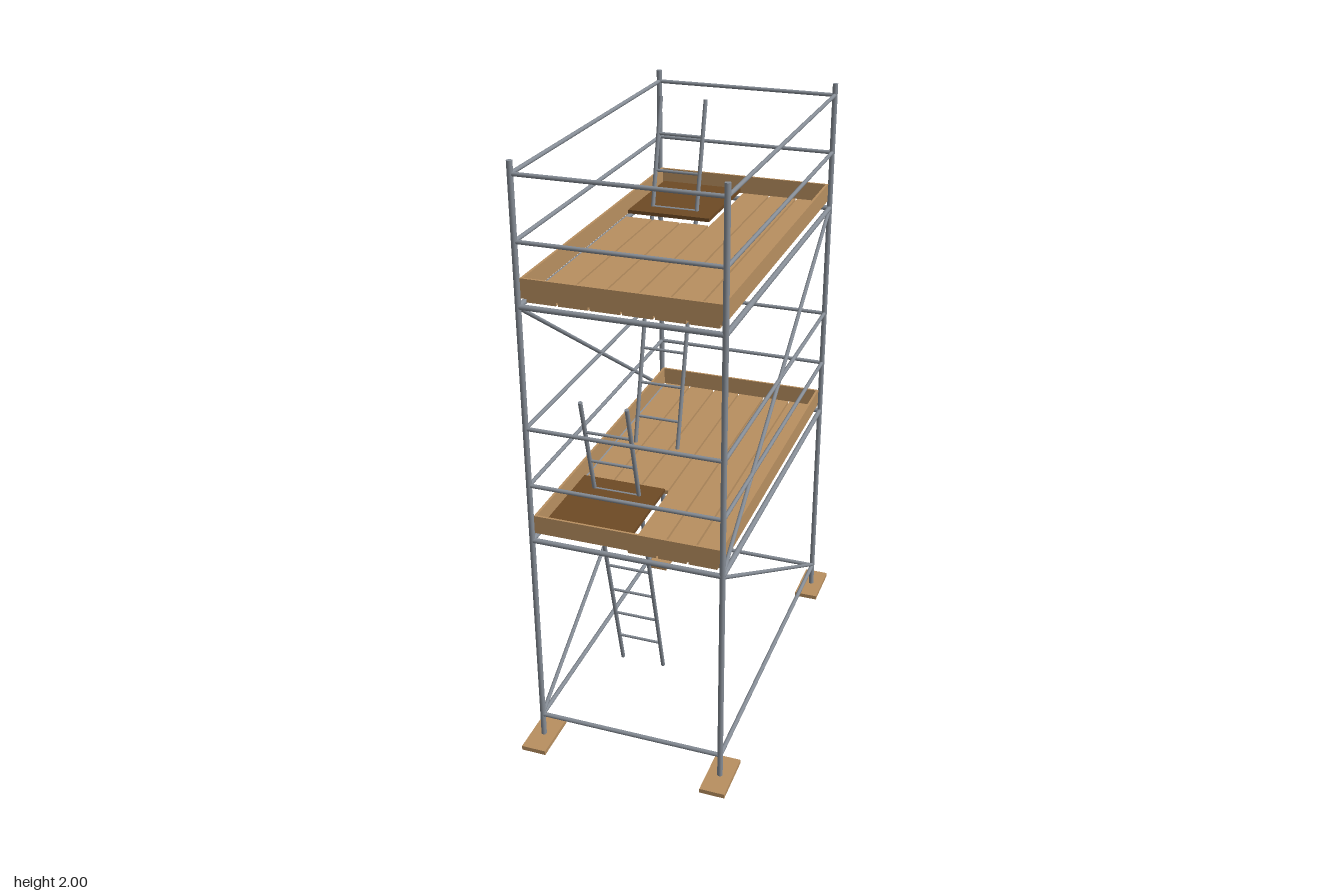
import * as THREE from 'three';

const X = 0.312, Z = 0.588;          // post positions
const DECKS = [0.787, 1.571];        // ledger height of each working level

export function createModel() {
  const model = new THREE.Group();
  model.name = 'scaffoldTower';

  const mat = (name, color) => {
    const m = new THREE.MeshStandardMaterial({ color });
    m.name = name;
    return m;
  };
  const steel = mat('steel', 0x868d96);
  const wood = mat('wood', 0xb88f60);
  const darkWood = mat('darkWood', 0x6e4a25);

  const group = (name) => {
    const g = new THREE.Group();
    g.name = name;
    model.add(g);
    return g;
  };

  // Round tube between two points
  const up = new THREE.Vector3(0, 1, 0);
  const tube = (parent, name, a, b, r, sides = 12) => {
    const p = new THREE.Vector3(...a), q = new THREE.Vector3(...b);
    const d = q.clone().sub(p);
    const mesh = new THREE.Mesh(new THREE.CylinderGeometry(r, r, d.length(), sides), steel);
    mesh.position.copy(p).add(q).multiplyScalar(0.5);
    mesh.quaternion.setFromUnitVectors(up, d.normalize());
    mesh.name = name;
    parent.add(mesh);
  };

  // Box given by its lower and upper limits on each axis
  const box = (parent, name, material, x, y, z) => {
    const mesh = new THREE.Mesh(
      new THREE.BoxGeometry(x[1] - x[0], y[1] - y[0], z[1] - z[0]), material);
    mesh.position.set((x[0] + x[1]) / 2, (y[0] + y[1]) / 2, (z[0] + z[1]) / 2);
    mesh.name = name;
    parent.add(mesh);
  };

  // Posts standing on wooden sole boards with thin steel plates below
  const posts = group('posts');
  const feet = group('feet');
  for (const sx of [-1, 1]) for (const sz of [-1, 1]) {
    const x = sx * X, z = sz * (Z - 0.002);
    tube(posts, 'post', [x, 0.006, sz * Z], [x, 2, sz * Z], 0.009, 16);
    box(feet, 'soleBoard', wood, [x - 0.042, x + 0.042], [0.007, 0.022], [z - 0.087, z + 0.087]);
    box(feet, 'basePlate', steel, [x - 0.03, x + 0.03], [0.005, 0.007], [z - 0.07, z + 0.07]);
  }

  // Rings of horizontal tubes: base, ledgers and guard rails
  const rails = group('rails');
  const ring = (name, y, r) => {
    for (const s of [-1, 1]) {
      tube(rails, name, [-X, y, s * Z], [X, y, s * Z], r);
      tube(rails, name, [s * X, y, -Z], [s * X, y, Z], r);
    }
  };
  ring('baseRail', 0.103, 0.0075);
  for (const y of DECKS) {
    ring('ledger', y, 0.0085);
    ring('midRail', y + 0.196, 0.0065);
    ring('topRail', y + 0.391, 0.0065);
  }

  // Diagonal braces zigzag up each long side, opposite ways left and right
  const braces = group('braces');
  for (const s of [-1, 1]) {
    tube(braces, 'lowerBrace', [s * X, 0.11, -s * 0.582], [s * X, 0.78, s * 0.582], 0.0065);
    tube(braces, 'upperBrace', [s * X, 0.795, s * 0.582], [s * X, 1.565, -s * 0.582], 0.0065);
  }

  // Decks with a raised hatch, toe boards and the ladder leading up through the hatch
  DECKS.forEach((y, level) => {
    const deck = group(level ? 'upperDeck' : 'lowerDeck');
    const side = level ? -1 : 1;                     // hatch at the back or at the front
    const span = (a, b) => [Math.min(a * side, b * side), Math.max(a * side, b * side)];
    const board = [y + 0.011, y + 0.025];

    for (let i = 0; i < 6; i++) {
      const x = -0.291 + i * 0.098;
      box(deck, 'plank', wood, [x, x + 0.092], board, span(-0.575, i < 3 ? 0.2 : 0.575));
    }
    box(deck, 'hatch', darkWood, [-0.291, -0.006], [y + 0.03, y + 0.042], span(0.22, 0.57));

    const toe = [y + 0.025, y + 0.086];
    for (const s of [-1, 1]) {
      const edge = (c) => [s * c - 0.004, s * c + 0.004];
      box(deck, 'endToeBoard', wood, [-0.305, 0.305], toe, edge(0.579));
      box(deck, 'sideToeBoard', wood, edge(0.301), toe, [-0.575, 0.575]);
    }

    const ladder = group(level ? 'upperLadder' : 'lowerLadder');
    const foot = level ? DECKS[0] : 0.002, rise = 1.178;
    const at = (x, h) => [x, foot + h, side * (0.08 + 0.25 * h)];
    for (const x of [-0.227, -0.071]) tube(ladder, 'stile', at(x, 0), at(x, rise), 0.007);
    for (let i = 1; i <= 9; i++) {
      const h = i * rise / 10;
      tube(ladder, 'rung', at(-0.227, h), at(-0.071, h), 0.005, 10);
    }
  });

  return model;
}
